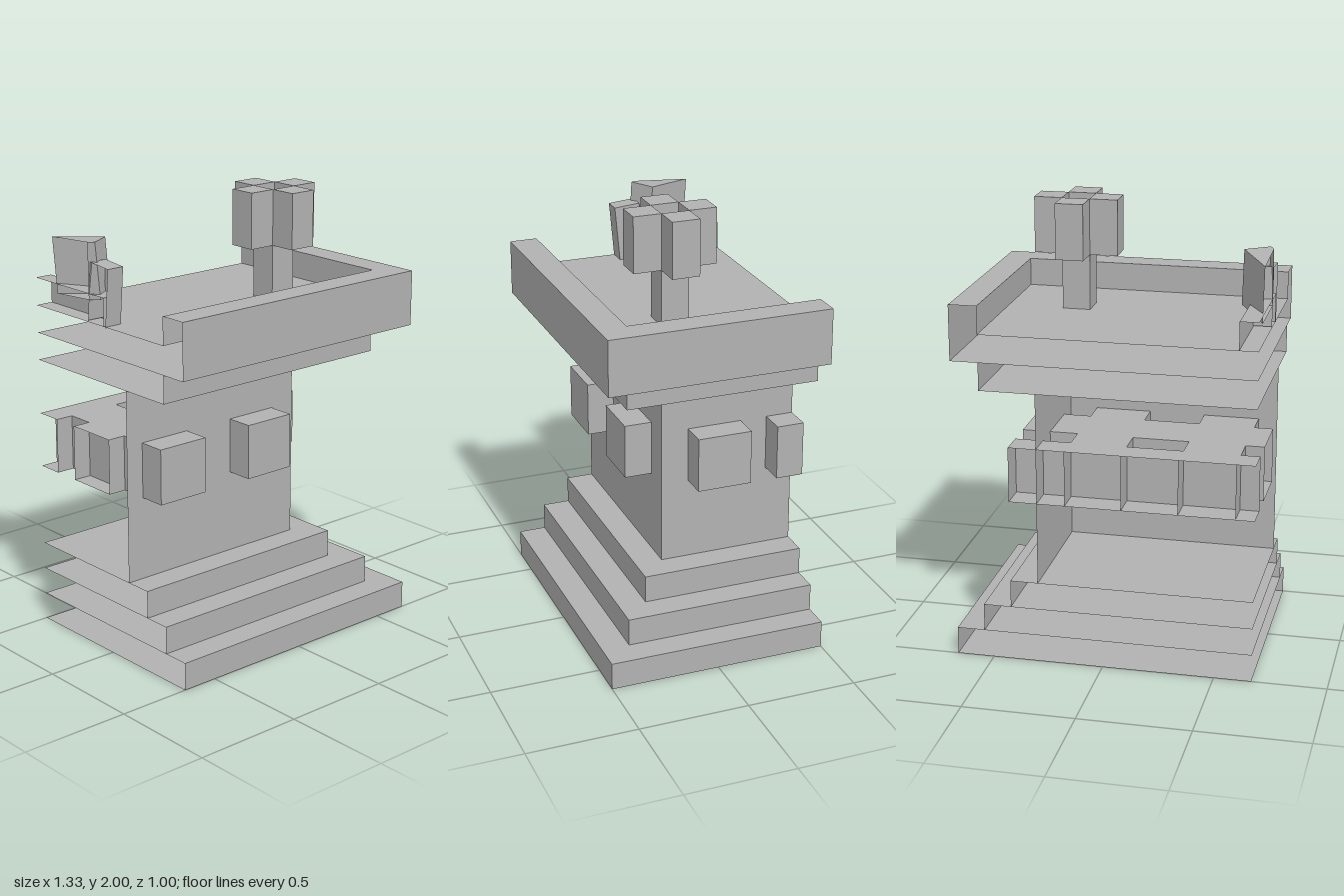
import * as THREE from 'three';

// order of the faces of a BoxGeometry
const SIDES = ['right', 'left', 'top', 'bottom', 'front', 'back'];
// the model is a corner of a tower, cut open along these two planes
const CX = -0.667, CZ = -0.5;

export function createModel() {
  const model = new THREE.Group();
  model.name = 'towerCorner';
  const stone = new THREE.MeshStandardMaterial({ color: 0xb2b2b2, side: THREE.DoubleSide });
  stone.name = 'grey stone';

  function add(name, geometry, parent = model) {
    const mesh = new THREE.Mesh(geometry, stone);
    mesh.name = name;
    parent.add(mesh);
    return mesh;
  }

  // box between two corners that keeps only the listed sides
  function shell(name, [x0, x1], [y0, y1], [z0, z1], keep = SIDES, parent = model) {
    const g = new THREE.BoxGeometry(x1 - x0, y1 - y0, z1 - z0);
    const index = Array.from(g.index.array);
    g.setIndex(SIDES.flatMap((s, i) => (keep.includes(s) ? index.slice(i * 6, i * 6 + 6) : [])));
    g.clearGroups();
    const mesh = add(name, g, parent);
    mesh.position.set((x0 + x1) / 2, (y0 + y1) / 2, (z0 + z1) / 2);
    return mesh;
  }

  // stepped base
  [[0.667, 0.5], [0.542, 0.375], [0.417, 0.25]].forEach(([x, z], i) => {
    const keep = ['right', 'front', 'top'];
    if (i === 0) keep.push('bottom');
    shell('baseStep', [CX, x], [i * 0.125, (i + 1) * 0.125], [CZ, z], keep);
  });

  // shaft and the ledge under the parapet
  shell('shaft', [CX, 0.292], [0.375, 1.25], [CZ, 0.125], ['right', 'front']);
  shell('corniceLedge', [CX, 0.542], [1.25, 1.375], [CZ, 0.375], ['right', 'front', 'bottom']);

  // beams running through the shaft, with their ends sticking out
  const beams = new THREE.Group();
  beams.name = 'beams';
  model.add(beams);
  for (const x of [-0.583, -0.083]) {
    shell('frontBeam', [x, x + 0.25], [0.75, 1], [CZ, 0.25],
      ['right', 'left', 'top', 'bottom', 'front'], beams);
  }
  shell('sideBeam', [CX, 0.417], [0.75, 1], [-0.25, 0],
    ['right', 'top', 'bottom', 'front', 'back'], beams);
  shell('sideBeam', [CX, 0.417], [0.75, 1], [CZ, -0.375],
    ['right', 'top', 'bottom', 'front'], beams);

  // parapet: outer wall, sunken roof floor and rim
  shell('parapetWall', [CX, 0.667], [1.375, 1.625], [CZ, 0.5], ['right', 'front', 'bottom']);
  shell('roofFloor', [CX, 0.542], [1.5, 1.625], [CZ, 0.375], ['right', 'front', 'bottom']);
  shell('frontRim', [CX, 0.667], [1.5, 1.625], [0.375, 0.5], ['top']);
  shell('sideRim', [0.542, 0.667], [1.5, 1.625], [CZ, 0.375], ['top']);

  // low wall on the roof with a leaning end stone
  shell('lowWall', [CX, -0.585], [1.5, 1.625], [CZ, -0.02], ['right', 'top', 'front']);
  const endStone = shell('leaningStone', [CX, -0.585], [1.5, 1.76], [-0.115, 0.005],
    ['right', 'top', 'front', 'back']);
  endStone.rotation.x = 0.09;

  // loose block, turned and tipped backwards, cut off at the open side
  const ring = [
    [-0.667, 1.83, -0.37], [-0.545, 1.848, -0.155], [-0.65, 1.85, -0.09], [-0.667, 1.847, -0.12],
    [-0.659, 1.58, -0.352], [-0.536, 1.6, -0.136], [-0.64, 1.602, -0.071], [-0.667, 1.598, -0.118],
  ];
  const quads = [[0, 3, 2, 1], [4, 5, 6, 7], [0, 1, 5, 4], [1, 2, 6, 5], [2, 3, 7, 6]];
  const points = quads.flatMap(([a, b, c, d]) => [a, b, c, a, c, d].flatMap((i) => ring[i]));
  const block = new THREE.BufferGeometry();
  block.setAttribute('position', new THREE.Float32BufferAttribute(points, 3));
  block.computeVertexNormals();
  add('looseBlock', block);

  // post topped by four blocks around an open middle
  const post = new THREE.Group();
  post.name = 'roofPost';
  model.add(post);
  const px = 0.167, pz = 0, s = 0.125;
  shell('postShaft', [px, px + s], [1.5, 1.75], [pz, pz + s], SIDES, post);
  for (const [dx, dz] of [[s, 0], [-s, 0], [0, s], [0, -s]]) {
    shell('postBlock', [px + dx, px + dx + s], [1.75, 2], [pz + dz, pz + dz + s], SIDES, post);
  }
  return model;
}
